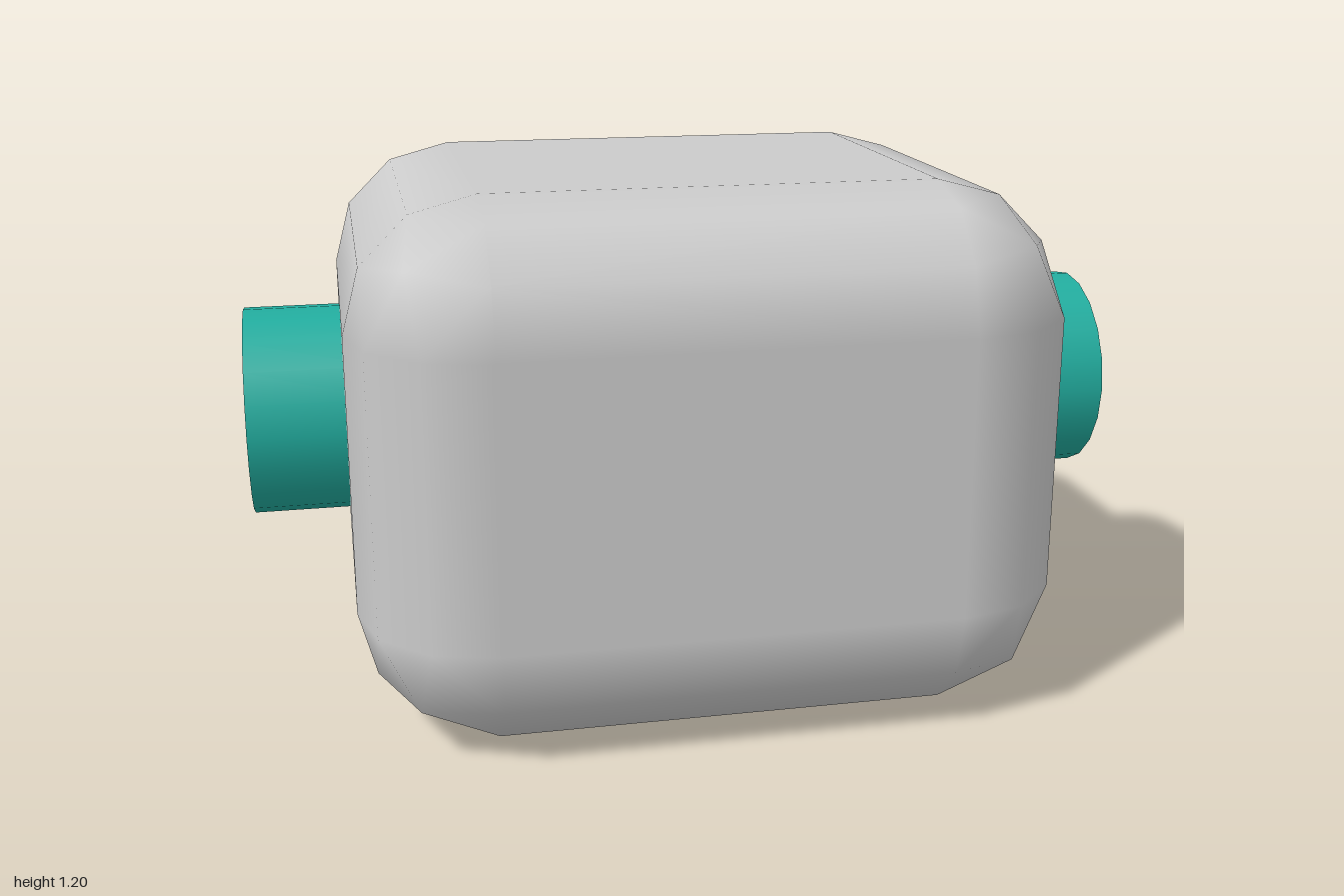
import * as THREE from 'three';
import { ConvexGeometry } from 'three/addons/geometries/ConvexGeometry.js';

// Box with edges rounded in three 30-degree steps and smooth normals
function bevelledBox(w, h, d, r) {
  const core = new THREE.Vector3(w / 2 - r, h / 2 - r, d / 2 - r);
  const points = [];
  for (const sx of [-1, 1]) for (const sy of [-1, 1]) for (const sz of [-1, 1]) {
    const sign = new THREE.Vector3(sx, sy, sz);
    for (let i = 0; i <= 3; i++) for (let j = 0; i + j <= 3; j++) {
      const [a, b, c] = [i, j, 3 - i - j].map((n) => Math.sin((n * Math.PI) / 6));
      const p = new THREE.Vector3(a, b, c).setLength(r).add(core);
      points.push(p.multiply(sign));
    }
  }
  const geometry = new ConvexGeometry(points);
  // Normals point away from the inner core box
  const pos = geometry.attributes.position;
  const low = core.clone().negate();
  const p = new THREE.Vector3();
  for (let i = 0; i < pos.count; i++) {
    p.fromBufferAttribute(pos, i);
    const n = p.clone().sub(p.clone().clamp(low, core)).normalize();
    geometry.attributes.normal.setXYZ(i, n.x, n.y, n.z);
  }
  return geometry;
}

export function createModel() {
  const model = new THREE.Group();
  model.name = 'roundedHead';
  const grey = new THREE.MeshStandardMaterial({ color: 0xcccccc });
  const teal = new THREE.MeshStandardMaterial({ color: 0x22ad9f });

  function add(name, geometry, material, x, y, z) {
    const mesh = new THREE.Mesh(geometry, material);
    mesh.name = name;
    mesh.position.set(x, y, z);
    model.add(mesh);
    return mesh;
  }

  // Main rounded body
  add('body', bevelledBox(1.57, 1.195, 1.38, 0.288), grey, 0, 0.5975, 0.05);

  // Raised bar across the back
  add('backBar', bevelledBox(1.18, 0.285, 0.135, 0.053), grey, 0, 0.693, -0.668);

  // Round side knobs, sunk slightly into the body
  for (const side of [-1, 1]) {
    const knob = new THREE.CylinderGeometry(0.237, 0.237, 0.3, 20);
    knob.rotateZ(Math.PI / 2);
    add(side > 0 ? 'leftKnob' : 'rightKnob', knob, teal, side * 0.85, 0.645, 0.05);
  }

  return model;
}
